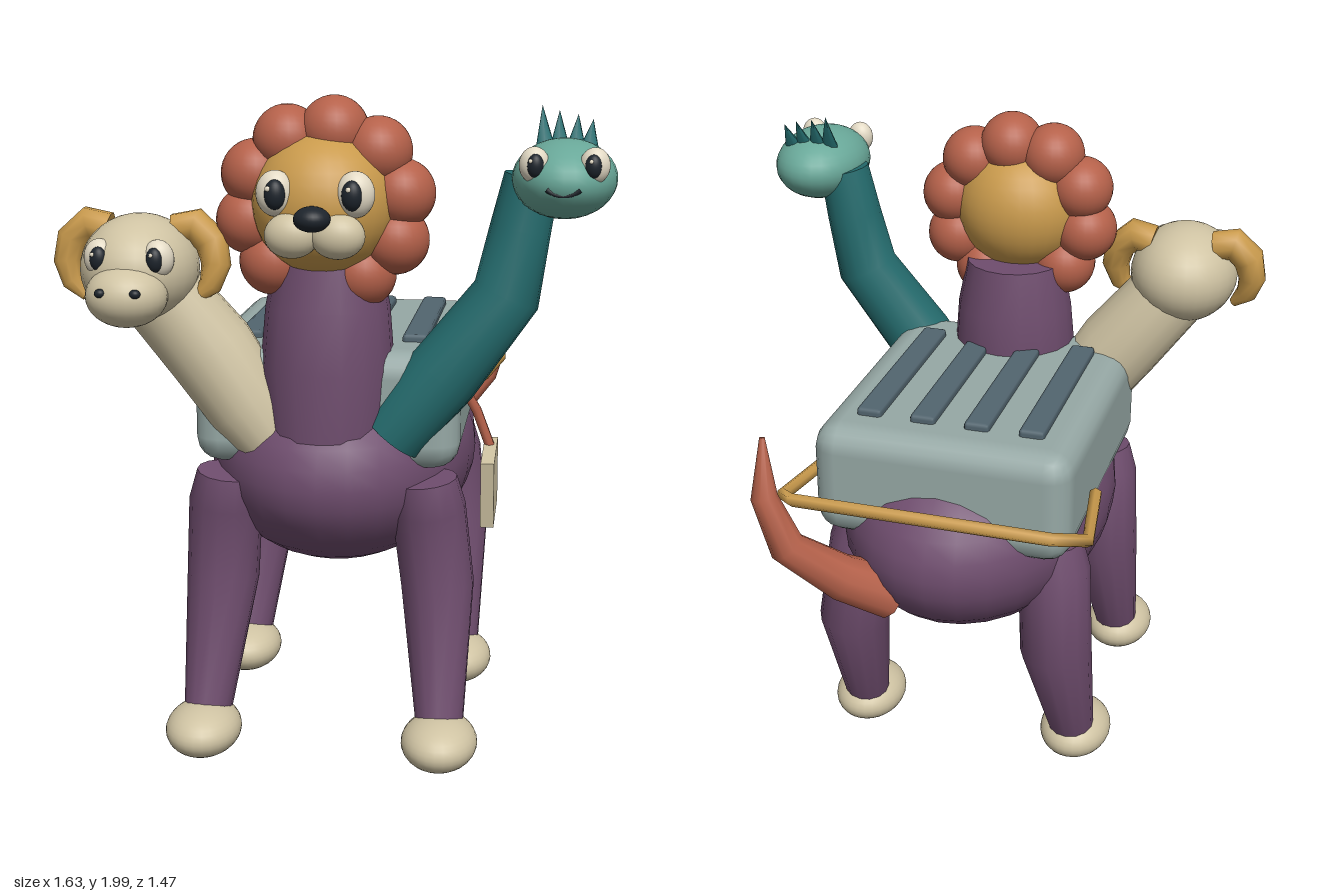
import * as THREE from 'three';
import { RoundedBoxGeometry } from 'three/addons/geometries/RoundedBoxGeometry.js';

const mat = (name, color) => new THREE.MeshStandardMaterial({ name, color });
const M = {
  purple: mat('plum hide', 0x6f4d6e),
  cream: mat('cream', 0xcfc3a3),
  rust: mat('rust', 0xb5614a),
  ochre: mat('ochre', 0xc99a4c),
  teal: mat('deep teal', 0x246b6d),
  mint: mat('pale teal', 0x69a899),
  shell: mat('case grey', 0x96a8a5),
  slate: mat('slate', 0x52656f),
  black: mat('near black', 0x1d242c),
  white: mat('eye white', 0xe2d9c4),
};
const CX = -0.017; // midline of the body

function add(parent, name, geometry, material, pos = [0, 0, 0], rot = [0, 0, 0]) {
  const m = new THREE.Mesh(geometry, material);
  m.name = name;
  m.position.set(...pos);
  m.rotation.set(...rot);
  parent.add(m);
  return m;
}

function ball(parent, name, material, pos, r, rot) {
  const m = add(parent, name, new THREE.SphereGeometry(1, 28, 18), material, pos, rot);
  m.scale.set(...r);
  return m;
}

// Tapered limb through stations [x, y, z, radius], closed by flat caps
function limb(stations, sides = 14) {
  const P = stations.map(s => new THREE.Vector3(s[0], s[1], s[2]));
  const pos = [], idx = [], n = P.length;
  let u = new THREE.Vector3(0, 0, 1), prev = null;
  P.forEach((p, i) => {
    const t = new THREE.Vector3();
    if (i > 0) t.add(p.clone().sub(P[i - 1]).normalize());
    if (i < n - 1) t.add(P[i + 1].clone().sub(p).normalize());
    t.normalize();
    if (prev) u.applyQuaternion(new THREE.Quaternion().setFromUnitVectors(prev, t));
    else if (Math.abs(t.z) > 0.8) u.set(0, 1, 0);
    u.addScaledVector(t, -u.dot(t)).normalize();
    prev = t;
    const v = t.clone().cross(u);
    for (let j = 0; j < sides; j++) {
      const a = j / sides * Math.PI * 2;
      const q = p.clone().addScaledVector(u, Math.cos(a) * stations[i][3]).addScaledVector(v, Math.sin(a) * stations[i][3]);
      pos.push(q.x, q.y, q.z);
    }
  });
  for (let i = 0; i < n - 1; i++) {
    for (let j = 0; j < sides; j++) {
      const k = (j + 1) % sides, a = i * sides, b = a + sides;
      idx.push(a + j, a + k, b + k, a + j, b + k, b + j);
    }
  }
  // end caps on their own vertices, for a crisp rim
  for (const [ring, c, flip] of [[0, P[0], true], [n - 1, P[n - 1], false]]) {
    const base = pos.length / 3;
    pos.push(...pos.slice(ring * sides * 3, (ring + 1) * sides * 3), c.x, c.y, c.z);
    for (let j = 0; j < sides; j++) {
      const k = (j + 1) % sides;
      idx.push(base + sides, base + (flip ? k : j), base + (flip ? j : k));
    }
  }
  const g = new THREE.BufferGeometry();
  g.setAttribute('position', new THREE.Float32BufferAttribute(pos, 3));
  g.setIndex(idx);
  g.computeVertexNormals();
  return g;
}

// Pair of eyes with pupils and glints
function eyes(parent, cx, dx, y, z, r) {
  for (const s of [-1, 1]) {
    const x = cx + s * dx;
    ball(parent, 'eyeball', M.white, [x, y, z], [r, r * 1.18, r * 0.85]);
    ball(parent, 'pupil', M.black, [x - s * r * 0.08, y, z + r * 0.55], [r * 0.56, r * 0.78, r * 0.5]);
    ball(parent, 'glint', M.white, [x - r * 0.22, y + r * 0.32, z + r * 0.95], [r * 0.14, r * 0.14, r * 0.1]);
  }
}

function group(parent, name) {
  const g = new THREE.Group();
  g.name = name;
  parent.add(g);
  return g;
}

function buildBody(root) {
  const body = group(root, 'body');
  body.position.x = CX;
  ball(body, 'torso', M.purple, [0, 0.87, -0.015], [0.42, 0.35, 0.615]);
  for (const s of [-1, 1]) {
    for (const [name, dz] of [['front', 0.67], ['rear', 0]]) {
      add(body, name + 'Leg', limb([
        [s * 0.30, 0.87, dz - 0.275, 0.095], [s * 0.31, 0.78, dz - 0.28, 0.112],
        [s * 0.335, 0.52, dz - 0.335, 0.112], [s * 0.36, 0.10, dz - 0.175, 0.07],
      ]), M.purple);
      ball(body, name + 'Foot', M.cream, [s * 0.362, 0.088, dz - 0.14], [0.115, 0.08, 0.145]);
    }
  }
  add(body, 'tail', limb([
    [0.15, 0.74, -0.50, 0.085], [0.27, 0.83, -0.60, 0.072], [0.40, 0.96, -0.685, 0.055],
    [0.46, 1.12, -0.69, 0.04], [0.475, 1.29, -0.645, 0.008],
  ], 10), M.rust);
}

function buildCase(root) {
  const box = group(root, 'travelCase');
  box.position.x = CX;
  add(box, 'caseShell', new RoundedBoxGeometry(0.8, 0.36, 0.95, 2, 0.08), M.shell, [0, 1.08, -0.022]);
  for (let i = 0; i < 4; i++) {
    add(box, 'lidRib', new RoundedBoxGeometry(0.078, 0.04, 0.65, 1, 0.012), M.slate, [(i - 1.5) * 0.168, 1.262, -0.045]);
  }
  // carry handle wrapping round the rear
  const half = [[0.425, 1.04, -0.25], [0.47, 1.045, -0.535], [0.39, 1.1, -0.65]];
  const path = [...half.map(([x, y, z]) => [-x, y, z, 0.02]), ...half.reverse().map(p => [...p, 0.02])];
  add(box, 'carryHandle', limb(path, 6), M.ochre);
  // luggage tag on a strap
  add(box, 'tagStrap', limb([[0.39, 1.14, 0.27, 0.014], [0.44, 1.05, 0.255, 0.016], [0.485, 0.93, 0.25, 0.016]], 6), M.rust);
  add(box, 'luggageTag', new THREE.BoxGeometry(0.04, 0.21, 0.2), M.cream, [0.483, 0.835, 0.285], [0.15, 0, 0]);
}

function buildLion(root) {
  const lion = group(root, 'lionHead');
  lion.position.x = CX;
  add(lion, 'lionNeck', limb([[0, 0.95, 0.37, 0.18], [0, 1.2, 0.36, 0.2], [0, 1.38, 0.35, 0.185], [0, 1.53, 0.35, 0.155]], 18), M.purple);
  ball(lion, 'lionFace', M.ochre, [0, 1.69, 0.42], [0.21, 0.205, 0.2]);
  for (let i = 0; i < 10; i++) {
    const a = (83 + i * 36) * Math.PI / 180;
    ball(lion, 'maneTuft', M.rust, [Math.cos(a) * 0.225, 1.678 + Math.sin(a) * 0.22, 0.395], [0.1, 0.1, 0.107]);
  }
  for (const s of [-1, 1]) ball(lion, 'lionCheek', M.cream, [s * 0.065, 1.62, 0.59], [0.078, 0.065, 0.06]);
  ball(lion, 'lionNose', M.black, [0, 1.672, 0.635], [0.052, 0.036, 0.05]);
  eyes(lion, 0, 0.113, 1.735, 0.575, 0.055);
}

function buildRam(root) {
  const ram = group(root, 'ramHead');
  const cx = -0.552;
  add(ram, 'ramNeck', limb([[-0.18, 0.98, 0.40, 0.1], [-0.25, 1.08, 0.40, 0.125], [-0.36, 1.24, 0.40, 0.135], [-0.52, 1.44, 0.43, 0.125]], 16), M.cream);
  ball(ram, 'ramSkull', M.cream, [cx, 1.5, 0.47], [0.172, 0.158, 0.2]);
  ball(ram, 'ramMuzzle', M.cream, [cx, 1.443, 0.625], [0.118, 0.09, 0.11]);
  for (const s of [-1, 1]) {
    ball(ram, 'nostril', M.black, [cx + s * 0.05, 1.465, 0.718], [0.016, 0.013, 0.014]);
    add(ram, 'curledHorn', limb([
      [cx + s * 0.10, 1.605, 0.435, 0.05], [cx + s * 0.16, 1.62, 0.435, 0.052], [cx + s * 0.208, 1.575, 0.44, 0.05],
      [cx + s * 0.222, 1.51, 0.45, 0.044], [cx + s * 0.205, 1.45, 0.46, 0.034], [cx + s * 0.165, 1.41, 0.47, 0.015],
    ], 10), M.ochre);
  }
  eyes(ram, cx + 0.005, 0.085, 1.548, 0.605, 0.046);
}

function buildSerpent(root) {
  const head = group(root, 'serpentHead');
  const cx = 0.667;
  add(head, 'serpentNeck', limb([
    [0.185, 1.0, 0.41, 0.095], [0.33, 1.19, 0.40, 0.11], [0.51, 1.43, 0.385, 0.1],
    [0.545, 1.62, 0.37, 0.088], [0.575, 1.77, 0.37, 0.08],
  ], 16), M.teal);
  ball(head, 'serpentSkull', M.mint, [cx, 1.772, 0.42], [0.148, 0.112, 0.2]);
  eyes(head, cx, 0.082, 1.822, 0.555, 0.042);
  add(head, 'mouth', new THREE.TorusGeometry(0.07, 0.008, 6, 14, 1.4), M.black,
    [cx, 1.815, 0.606], [0, 0, -Math.PI / 2 - 0.7]);
  // fan of crest spikes leaning back
  [[-0.065, 0.13], [-0.02, 0.11], [0.03, 0.1], [0.07, 0.09]].forEach(([dx, h]) => {
    const spike = add(head, 'crestSpike', new THREE.ConeGeometry(0.028, h, 7), M.teal,
      [cx + dx, 1.85 + h / 2 - Math.abs(dx) * 0.1, 0.305], [-0.5, 0, -dx * 1.5]);
    spike.scale.z = 0.6;
  });
}

export function createModel() {
  const root = new THREE.Group();
  root.name = 'threeHeadedTravelBeast';
  buildBody(root);
  buildCase(root);
  buildLion(root);
  buildRam(root);
  buildSerpent(root);
  return root;
}
